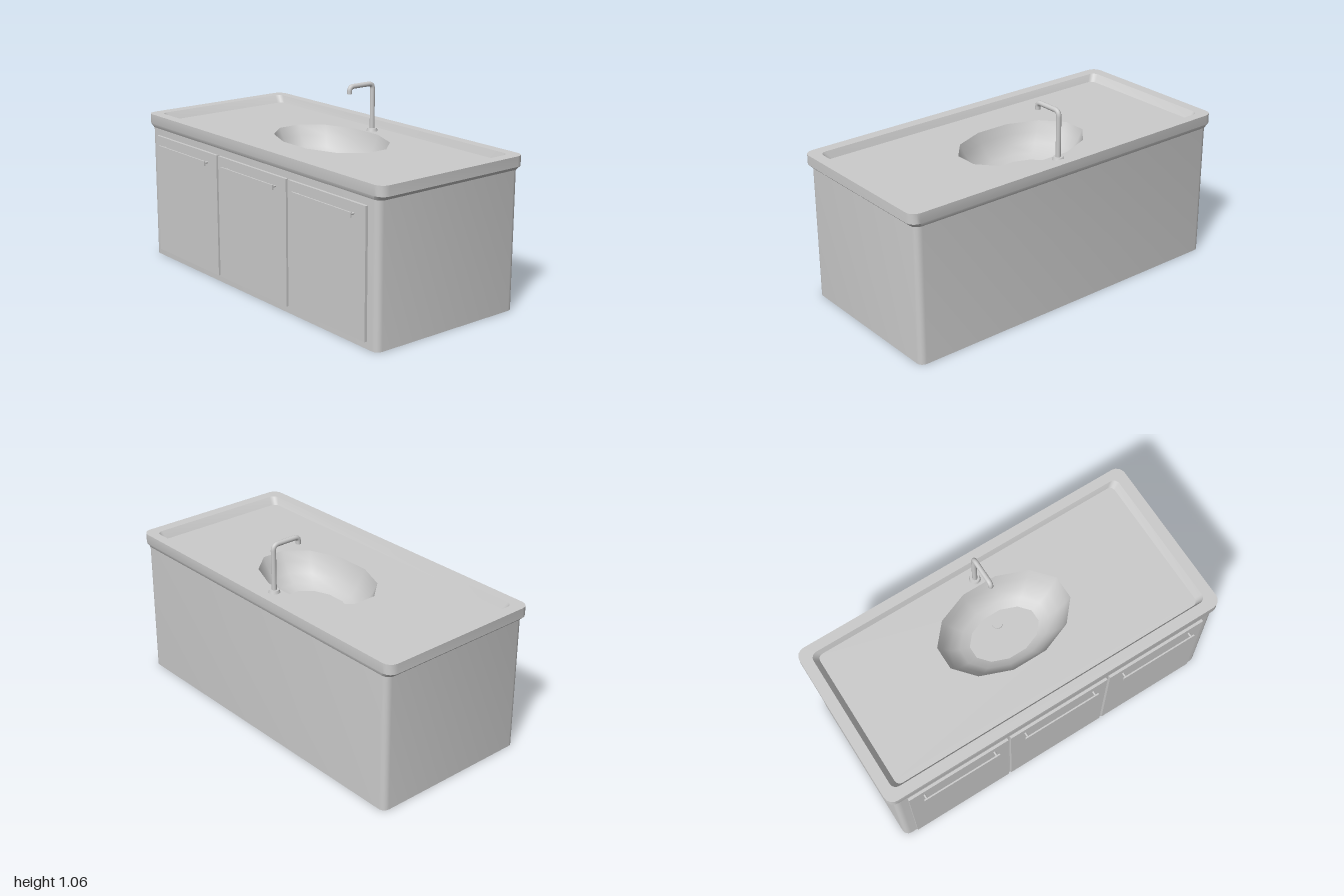
import * as THREE from 'three';
import { toCreasedNormals } from 'three/addons/utils/BufferGeometryUtils.js';

const material = new THREE.MeshStandardMaterial({ color: 0xcccccc, side: THREE.DoubleSide });

function add(parent, name, geometry, x = 0, y = 0, z = 0) {
  const mesh = new THREE.Mesh(geometry, material);
  mesh.name = name;
  mesh.position.set(x, y, z);
  parent.add(mesh);
  return mesh;
}

// Rounded rectangle outline in the x/z plane, as [x, z] points
function roundedRect(halfWidth, back, front, radius, steps = 4) {
  const points = [];
  const corners = [[1, front - radius], [-1, front - radius], [-1, back + radius], [1, back + radius]];
  corners.forEach(([side, cz], k) => {
    for (let i = 0; i <= steps; i++) {
      const a = (k + i / steps) * Math.PI / 2;
      points.push([side * (halfWidth - radius) + radius * Math.cos(a), cz + radius * Math.sin(a)]);
    }
  });
  return points;
}

// Twelve-sided oval of the basin
function oval(scale) {
  return Array.from({ length: 12 }, (_, i) => {
    const a = (i + 0.5) * Math.PI / 6;
    return [0.38 * scale * Math.cos(a), -0.07 + 0.254 * scale * Math.sin(a)];
  });
}

// Skin over a stack of matching outlines: [[outline, y], ...]
function loft(rings, crease = 0.5) {
  const n = rings[0][0].length;
  const positions = [];
  const index = [];
  rings.forEach(([outline, y]) => outline.forEach(([x, z]) => positions.push(x, y, z)));
  for (let r = 0; r < rings.length - 1; r++) {
    for (let i = 0; i < n; i++) {
      const a = r * n + i, b = r * n + (i + 1) % n;
      index.push(a, a + n, b + n, a, b + n, b);
    }
  }
  const geometry = new THREE.BufferGeometry();
  geometry.setAttribute('position', new THREE.Float32BufferAttribute(positions, 3));
  geometry.setIndex(index);
  return toCreasedNormals(geometry, crease);
}

// Flat horizontal sheet with an optional hole
function sheet(outline, hole) {
  const toVectors = (pts) => pts.map(([x, z]) => new THREE.Vector2(x, -z));
  const shape = new THREE.Shape(toVectors(outline));
  if (hole) shape.holes.push(new THREE.Path(toVectors(hole)));
  return new THREE.ShapeGeometry(shape).rotateX(-Math.PI / 2);
}

export function createModel() {
  const group = new THREE.Group();
  group.name = 'vanity';
  const deckY = 0.78;
  const floorY = 0.61;

  // Cabinet body with rounded upright corners
  const body = roundedRect(0.97, -0.48, 0.445, 0.035);
  add(group, 'cabinet', loft([[body, 0], [body, 0.746]]));
  add(group, 'cabinetBottom', sheet(body).rotateX(Math.PI).scale(1, 1, -1));

  // Countertop: chamfered underside, rim and sloping inner lip
  const deckEdge = roundedRect(0.91, -0.425, 0.38, 0.03);
  add(group, 'countertop', loft([
    [roundedRect(0.96, -0.47, 0.435, 0.035), 0.745],
    [roundedRect(0.978, -0.48, 0.445, 0.04), 0.745],
    [roundedRect(1, -0.49, 0.455, 0.05), 0.766],
    [roundedRect(1, -0.49, 0.455, 0.05), 0.82],
    [roundedRect(0.94, -0.436, 0.396, 0.035), 0.82],
    [deckEdge, deckY],
  ]));
  add(group, 'deck', sheet(deckEdge, oval(1)), 0, deckY, 0);

  // Sunken basin and drain
  add(group, 'basin', loft([
    [oval(1), deckY], [oval(0.93), 0.725], [oval(0.82), 0.67], [oval(0.68), 0.63], [oval(0.53), floorY],
  ], 0.7));
  add(group, 'basinFloor', sheet(oval(0.53)), 0, floorY, 0);
  add(group, 'drain', new THREE.CylinderGeometry(0.03, 0.03, 0.008, 20), 0, floorY + 0.004, -0.14);

  // Bent tap
  const tap = new THREE.Group();
  tap.name = 'tap';
  group.add(tap);
  const v = (y, z) => new THREE.Vector3(0, y, z);
  const path = new THREE.CurvePath();
  path.add(new THREE.LineCurve3(v(deckY, -0.358), v(1.012, -0.358)));
  path.add(new THREE.QuadraticBezierCurve3(v(1.012, -0.358), v(1.042, -0.358), v(1.042, -0.328)));
  path.add(new THREE.LineCurve3(v(1.042, -0.328), v(1.042, -0.222)));
  path.add(new THREE.QuadraticBezierCurve3(v(1.042, -0.222), v(1.042, -0.196), v(1.018, -0.196)));
  path.add(new THREE.LineCurve3(v(1.018, -0.196), v(1.006, -0.196)));
  add(tap, 'spout', new THREE.TubeGeometry(path, 70, 0.0135, 12));
  add(tap, 'outlet', new THREE.CylinderGeometry(0.0135, 0.0135, 0.004, 12), 0, 1.006, -0.196);
  add(tap, 'tapBase', new THREE.CylinderGeometry(0.026, 0.031, 0.016, 20), 0, deckY + 0.008, -0.358);

  // Three doors, each with a bar handle on two posts
  for (const x of [-0.604, 0, 0.604]) {
    const door = new THREE.Group();
    door.name = 'door';
    door.position.x = x;
    group.add(door);
    add(door, 'doorPanel', new THREE.BoxGeometry(0.588, 0.67, 0.02), 0, 0.373, 0.45);
    add(door, 'handleBar', new THREE.BoxGeometry(0.448, 0.026, 0.008), 0, 0.654, 0.488);
    for (const side of [-1, 1]) {
      const post = add(door, 'handlePost', new THREE.CylinderGeometry(0.006, 0.006, 0.03, 10), side * 0.208, 0.654, 0.471);
      post.rotation.x = Math.PI / 2;
    }
  }
  return group;
}
